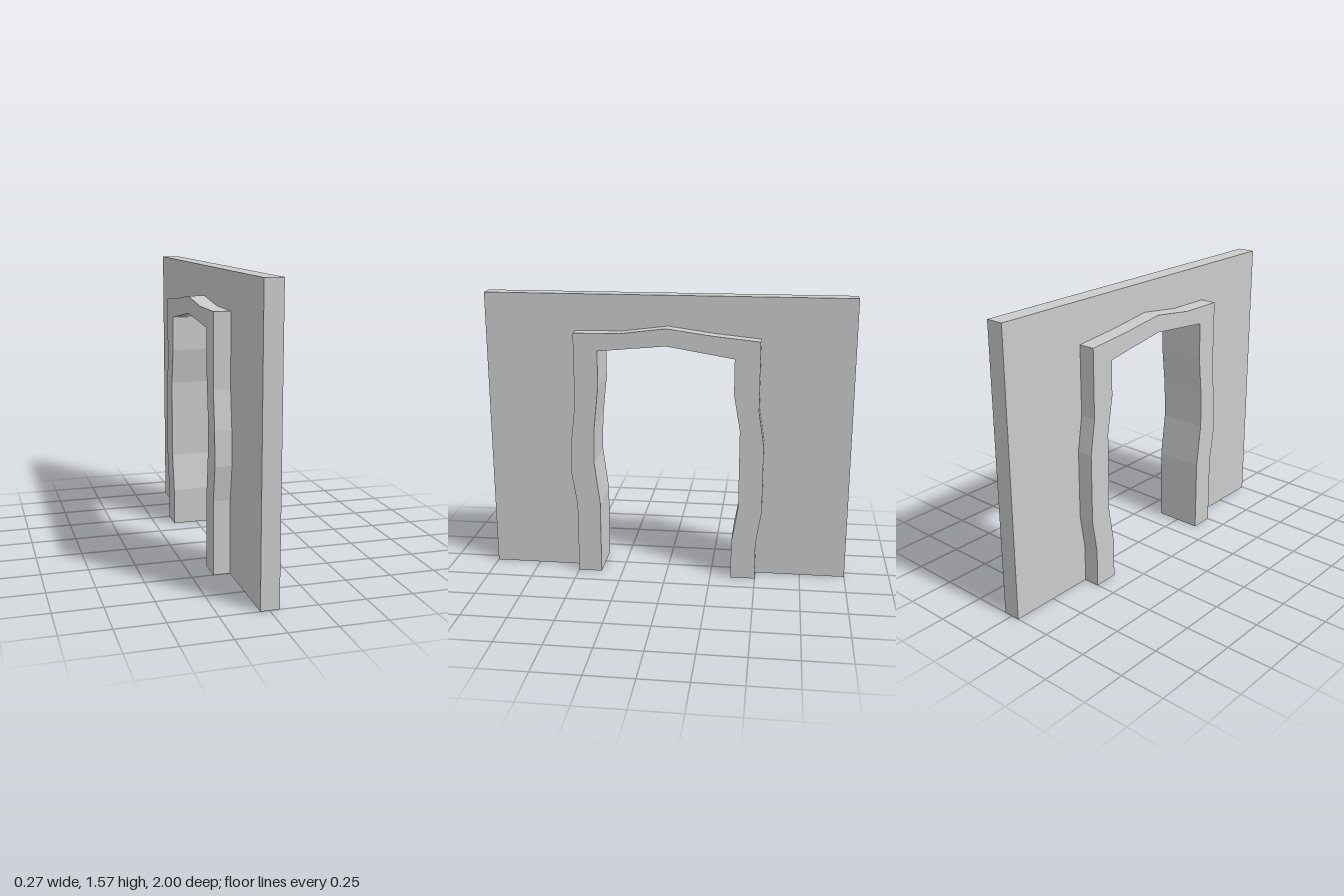
import * as THREE from 'three';

// Contours as [z, y], running from the front foot over the top to the back foot
const outer = [
  [0.5, 0], [0.5, 0.4], [0.53, 0.59], [0.523, 0.78], [0.5, 0.98], [0.5, 1.372], [0.25, 1.374], [0, 1.406],
  [-0.25, 1.372], [-0.5, 1.347], [-0.5, 0.97], [-0.53, 0.78], [-0.53, 0.4], [-0.5, 0.21], [-0.5, 0],
];
const inner = [
  [0.37, 0], [0.37, 0.41], [0.4, 0.65], [0.395, 0.85], [0.37, 1.08], [0.37, 1.277], [0, 1.312],
  [-0.365, 1.252], [-0.365, 1.06], [-0.4, 0.86], [-0.4, 0.42], [-0.365, 0.21], [-0.365, 0],
];
const wallEdge = [[1, 0], [1, 1.57], [-1, 1.57], [-1, 0]];

// Arch-shaped slab between two contours, spanning xMin to xMax
function archSlab(name, outside, opening, xMin, xMax) {
  const points = [...outside, ...[...opening].reverse()].map(([z, y]) => new THREE.Vector2(z, y));
  const geometry = new THREE.ExtrudeGeometry(new THREE.Shape(points), {
    depth: xMax - xMin, bevelEnabled: false,
  });
  geometry.rotateY(-Math.PI / 2); // shape x becomes z, depth runs towards -x
  geometry.translate(xMax, 0, 0);
  const material = new THREE.MeshStandardMaterial({ color: 0xcccccc, flatShading: true });
  const mesh = new THREE.Mesh(geometry, material);
  mesh.name = name;
  return mesh;
}

export function createModel() {
  const group = new THREE.Group();
  group.name = 'archedDoorway';
  // Thin wall panel, cut out around the frame
  group.add(archSlab('wall', wallEdge, outer, -0.046, 0.051));
  // Thicker irregular door frame standing proud on both faces
  group.add(archSlab('doorFrame', outer, inner, -0.136, 0.133));
  return group;
}
